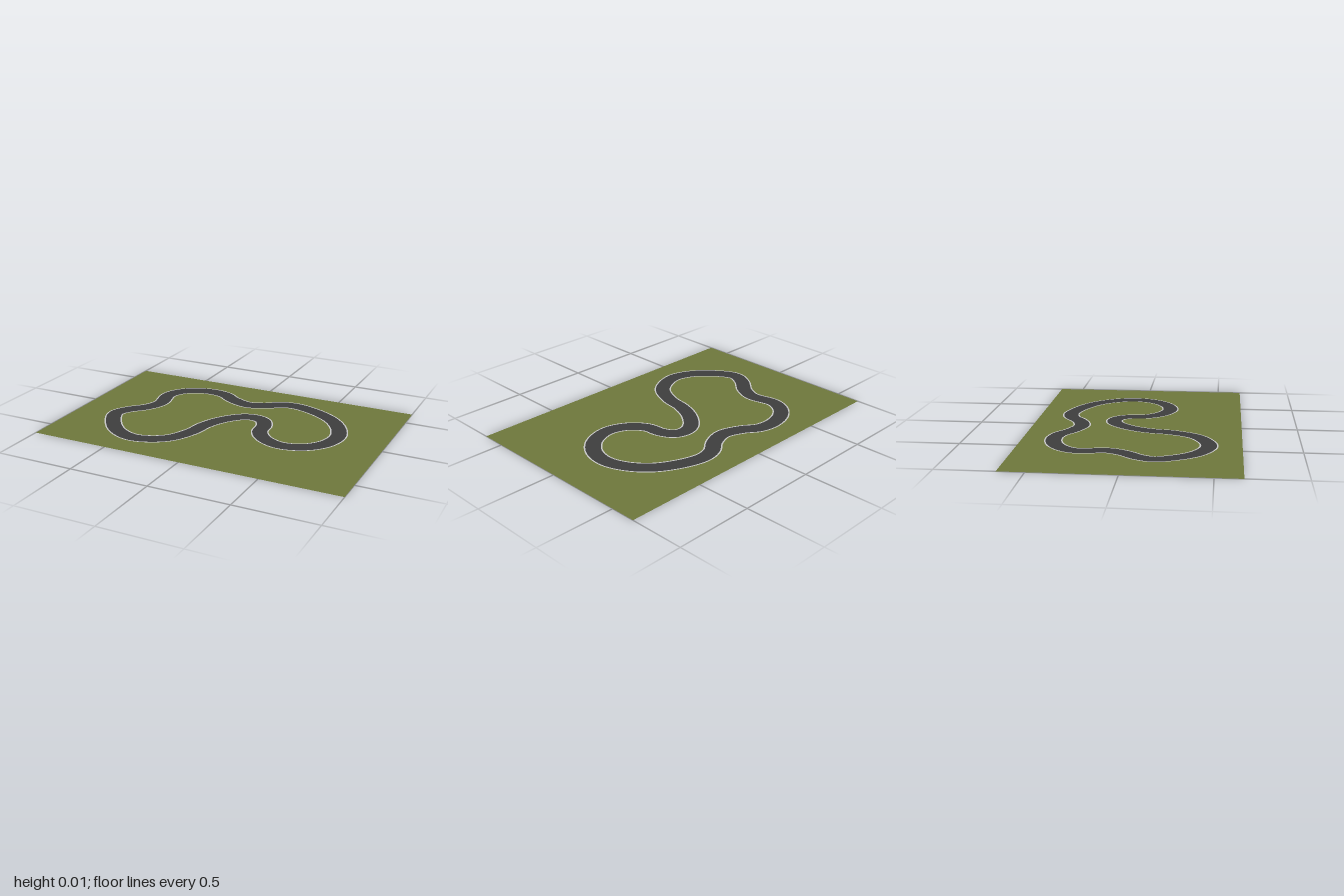
import * as THREE from 'three';

const ROAD_HALF = 0.046;   // asphalt half width
const EDGE_HALF = 0.055;   // half width including the white edge lines
const STEPS = 300;

// Centre line of the circuit, as x, z pairs
const CENTRE = [
  [-0.725, 0.17], [-0.69, 0.08], [-0.605, -0.02], [-0.565, -0.12], [-0.59, -0.28],
  [-0.555, -0.365], [-0.47, -0.435], [-0.35, -0.465], [-0.245, -0.447], [-0.16, -0.39],
  [-0.03, -0.345], [0.085, -0.38], [0.17, -0.44], [0.265, -0.46], [0.415, -0.42],
  [0.565, -0.33], [0.66, -0.205], [0.695, -0.08], [0.665, 0.045], [0.575, 0.143],
  [0.435, 0.185], [0.31, 0.138], [0.235, 0.045], [0.218, -0.06], [0.175, -0.133],
  [0.105, -0.155], [0.03, -0.13], [-0.065, -0.025], [-0.12, 0.1], [-0.145, 0.23],
  [-0.23, 0.385], [-0.41, 0.463], [-0.555, 0.415], [-0.67, 0.295],
];

// The road rises gently at its left-hand bend
function roadHeight(x, z) {
  const d = Math.hypot(x + 0.725, z - 0.2);
  return 0.003 + 0.005 * Math.exp(-((d / 0.15) ** 2));
}

// Flat closed strip between two sideways offsets from the centre line
function strip(curve, from, to) {
  const positions = [], normals = [], index = [];
  for (let i = 0; i <= STEPS; i++) {
    const p = curve.getPointAt((i % STEPS) / STEPS);
    const t = curve.getTangentAt((i % STEPS) / STEPS);
    const y = roadHeight(p.x, p.z);
    for (const offset of [from, to]) {
      positions.push(p.x - t.z * offset, y, p.z + t.x * offset);
      normals.push(0, 1, 0);
    }
    if (i < STEPS) {
      const a = i * 2;
      index.push(a, a + 2, a + 1, a + 1, a + 2, a + 3);
    }
  }
  // Keep the triangles facing upwards
  for (let i = 0; i < index.length; i += 3) {
    const [a, b, c] = index.slice(i, i + 3).map((k) => k * 3);
    const up = (positions[b + 2] - positions[a + 2]) * (positions[c] - positions[a])
      - (positions[b] - positions[a]) * (positions[c + 2] - positions[a + 2]);
    if (up < 0) [index[i + 1], index[i + 2]] = [index[i + 2], index[i + 1]];
  }
  const geometry = new THREE.BufferGeometry();
  geometry.setAttribute('position', new THREE.Float32BufferAttribute(positions, 3));
  geometry.setAttribute('normal', new THREE.Float32BufferAttribute(normals, 3));
  geometry.setIndex(index);
  return geometry;
}

export function createModel() {
  const grass = new THREE.MeshStandardMaterial({ color: 0x6f793c, side: THREE.DoubleSide });
  grass.name = 'grass green';
  const asphalt = new THREE.MeshStandardMaterial({ color: 0x3f3f3f, side: THREE.DoubleSide });
  asphalt.name = 'asphalt grey';
  const paint = new THREE.MeshStandardMaterial({ color: 0xc8c8c8, side: THREE.DoubleSide });
  paint.name = 'edge line white';

  const model = new THREE.Group();
  model.name = 'raceTrack';
  const add = (name, geometry, material) => {
    const mesh = new THREE.Mesh(geometry, material);
    mesh.name = name;
    model.add(mesh);
  };

  // Ground sheet
  add('ground', new THREE.PlaneGeometry(2, 1.314).rotateX(-Math.PI / 2), grass);

  // Road and its two edge lines
  const points = CENTRE.map(([x, z]) => new THREE.Vector3(x, 0, z));
  const curve = new THREE.CatmullRomCurve3(points, true, 'centripetal');
  curve.arcLengthDivisions = 1000;
  add('road', strip(curve, -ROAD_HALF, ROAD_HALF), asphalt);
  add('innerEdgeLine', strip(curve, ROAD_HALF, EDGE_HALF), paint);
  add('outerEdgeLine', strip(curve, -EDGE_HALF, -ROAD_HALF), paint);
  return model;
}
